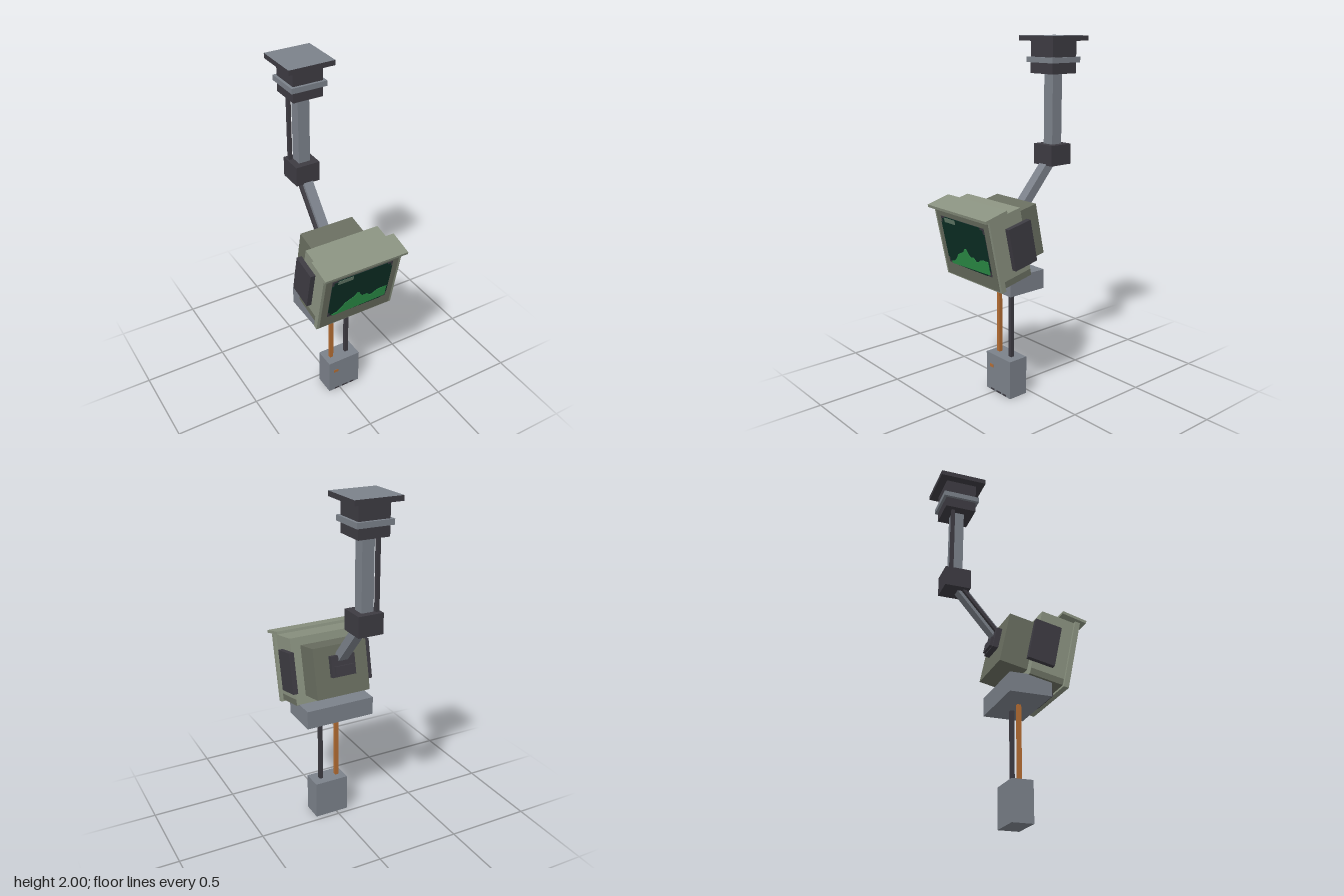
import * as THREE from 'three';

const paint = (name, color) => {
  const m = new THREE.MeshStandardMaterial({ color });
  m.name = name;
  return m;
};

export function createModel() {
  const steel = paint('steel', 0x7b818a);
  const dark = paint('darkMetal', 0x3d3b42);
  const shell = paint('lightOlive', 0x8a9280);
  const olive = paint('darkOlive', 0x696e60);
  const copper = paint('copperOrange', 0xb36c32);
  const glass = paint('screenGlass', 0x0c2f25);
  const glow = paint('screenGreen', 0x2c9048);
  const glare = paint('screenGlare', 0x627a68);

  const model = new THREE.Group();
  model.name = 'hangingMonitor';

  const box = (parent, name, mat, size, pos, rx = 0) => {
    const mesh = new THREE.Mesh(new THREE.BoxGeometry(...size), mat);
    mesh.name = name;
    mesh.position.set(...pos);
    mesh.rotation.x = rx;
    parent.add(mesh);
    return mesh;
  };

  // Ceiling mount: dark plate with a steel top, collar and ring
  const mz = -0.28;
  box(model, 'ceilingPlate', [dark, dark, steel, dark, dark, dark], [0.27, 0.028, 0.268], [0, 1.986, mz]);
  box(model, 'mountCollar', dark, [0.178, 0.177, 0.178], [0, 1.8835, mz]);
  box(model, 'mountRing', steel, [0.21, 0.03, 0.21], [0, 1.87, mz]);

  // Upper column, its cable and the elbow
  box(model, 'column', steel, [0.07, 0.4, 0.07], [0, 1.597, mz]);
  box(model, 'columnCable', dark, [0.02, 0.4, 0.02], [-0.053, 1.597, -0.317]);
  box(model, 'elbow', dark, [0.146, 0.116, 0.148], [0, 1.343, mz]);

  // Slanted lower arm with a cable beside it
  const armTop = new THREE.Vector3(0, 1.335, -0.278);
  const armEnd = new THREE.Vector3(0, 1.04, -0.02);
  const armMid = armTop.clone().add(armEnd).multiplyScalar(0.5);
  const armLen = armTop.distanceTo(armEnd);
  const armTilt = Math.atan2(armTop.z - armEnd.z, armTop.y - armEnd.y);
  box(model, 'lowerArm', steel, [0.058, armLen, 0.052], [0, armMid.y, armMid.z], armTilt);
  box(model, 'lowerArmCable', dark, [0.018, armLen, 0.018], [-0.039, armMid.y, armMid.z], armTilt);

  // Monitor, pitched downward
  const monitor = new THREE.Group();
  monitor.name = 'monitor';
  monitor.position.set(0, 0.923, 0.214);
  monitor.rotation.x = 0.208;
  model.add(monitor);

  box(monitor, 'body', shell, [0.45, 0.389, 0.194], [0, 0, 0]);
  box(monitor, 'bodyUnderTrim', olive, [0.454, 0.036, 0.19], [0, -0.1785, 0]);
  box(monitor, 'rearHousing', olive, [0.33, 0.293, 0.16], [0, 0, -0.176]);
  box(monitor, 'frame', shell, [0.482, 0.406, 0.029], [0, -0.005, 0.1115]);
  box(monitor, 'bezel', olive, [0.45, 0.39, 0.006], [0, -0.005, 0.126]);
  box(monitor, 'visor', shell, [0.508, 0.016, 0.145], [0, 0.214, 0.084], 0.05);
  for (const s of [-1, 1]) {
    box(monitor, 'sideVent', dark, [0.03, 0.238, 0.153], [s * 0.239, 0, -0.054]);
  }
  box(monitor, 'rearBracket', dark, [0.146, 0.12, 0.032], [0, 0.03, -0.271]);
  box(monitor, 'bracketLip', dark, [0.114, 0.055, 0.016], [0, 0.005, -0.293]);

  // Screen: flat layers stacked in front of the bezel
  const layer = (name, mat, points, z) => {
    const shape = new THREE.Shape(points.map(([x, y]) => new THREE.Vector2(x, y)));
    const geo = new THREE.ExtrudeGeometry(shape, { depth: 0.002, bevelEnabled: false });
    const mesh = new THREE.Mesh(geo, mat);
    mesh.name = name;
    mesh.position.set(0, 0.016, z);
    monitor.add(mesh);
  };
  const W = 0.187, H = 0.14;
  box(monitor, 'screenBacking', dark, [W * 2, H * 2, 0.003], [0, 0.016, 0.1295]);
  // Stepped corner mirrored into all four quadrants
  const step = [[W, H - 0.034], [W - 0.012, H - 0.034], [W - 0.012, H - 0.012], [W - 0.034, H - 0.012], [W - 0.034, H]];
  const flipped = [...step].reverse();
  layer('screen', glass, [
    ...step,
    ...flipped.map(([x, y]) => [-x, y]),
    ...step.map(([x, y]) => [-x, -y]),
    ...flipped.map(([x, y]) => [x, -y]),
  ], 0.131);
  layer('screenWave', glow, [
    [-0.153, -H], [0.178, -H + 0.012], [0.178, -0.052], [0.14, -0.052], [0.115, -0.056],
    [0.095, -0.07], [0.074, -0.078], [0.053, -0.056], [0.026, -0.06], [0.01, -0.045],
    [-0.003, -0.02], [-0.016, -0.02], [-0.03, -0.04], [-0.053, -0.052], [-0.085, -0.068],
    [-0.11, -0.1], [-0.135, -0.122], [-0.165, -0.128],
  ].reverse(), 0.133);
  layer('screenGlare', glare, [
    [-0.153, 0.11], [-0.06, 0.11], [-0.06, 0.135], [-0.153, 0.135],
  ], 0.133);

  // Base unit under the monitor with a dark front panel
  box(model, 'baseUnit', steel, [0.42, 0.108, 0.238], [0, 0.7, 0.092]);
  box(model, 'basePanel', dark, [0.21, 0.046, 0.02], [-0.075, 0.682, 0.218]);

  // Hanging cables and the weight box
  box(model, 'orangeCable', copper, [0.022, 0.43, 0.022], [-0.029, 0.435, 0.092]);
  box(model, 'darkCable', dark, [0.022, 0.43, 0.022], [0.075, 0.435, 0.092]);
  box(model, 'hangingBox', steel, [0.208, 0.226, 0.122], [0.03, 0.113, 0.092]);
  box(model, 'boxIndicator', copper, [0.03, 0.018, 0.004], [-0.028, 0.152, 0.153]);
  for (const [x, w] of [[-0.02, 0.03], [0.035, 0.04], [0.085, 0.03]]) {
    box(model, 'boxScuff', dark, [w, 0.01, 0.003], [x, 0.007, 0.153]);
  }
  return model;
}
